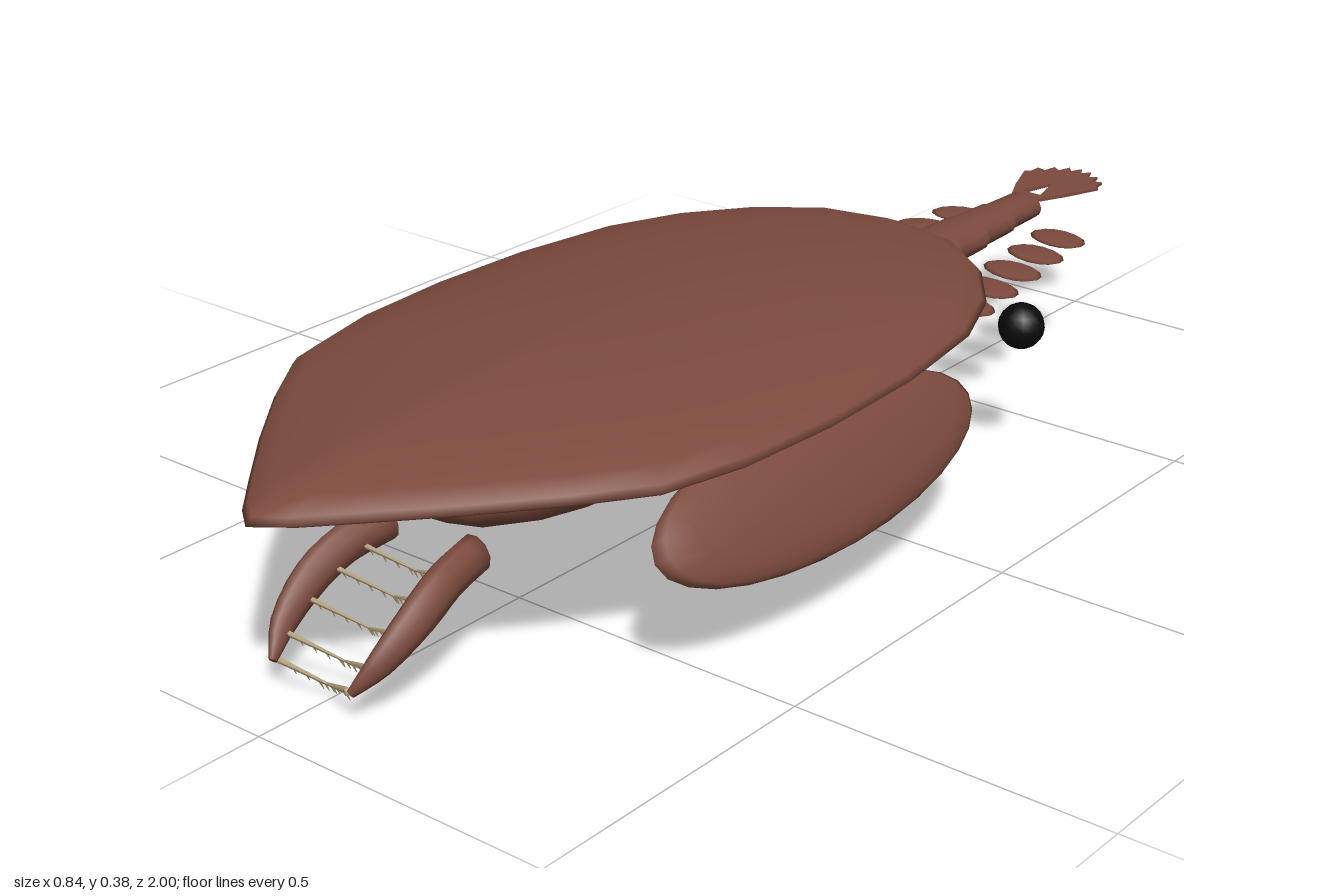
import * as THREE from 'three';

const V = (x, y, z) => new THREE.Vector3(x, y, z);

// Smooth skin through equal-sized closed rings of points
function loft(rings) {
  const n = rings[0].length, pos = [], idx = [];
  rings.forEach(r => r.forEach(p => pos.push(p.x, p.y, p.z)));
  for (let i = 0; i < rings.length - 1; i++) {
    for (let j = 0; j < n; j++) {
      const k = (j + 1) % n;
      const a = i * n + j, b = i * n + k, c = a + n, d = b + n;
      idx.push(a, c, b, b, c, d);
    }
  }
  const g = new THREE.BufferGeometry();
  g.setAttribute('position', new THREE.Float32BufferAttribute(pos, 3));
  g.setIndex(idx);
  g.computeVertexNormals();
  return g;
}

// Elliptical ring facing along z; rings are listed from front to back
function ringZ(x, y, z, rx, ry, n = 14) {
  return Array.from({ length: n }, (_, j) => {
    const a = j / n * Math.PI * 2;
    return V(x + rx * Math.cos(a), y + ry * Math.sin(a), z);
  });
}

export function createModel() {
  const root = new THREE.Group();
  const shell = new THREE.MeshStandardMaterial({ color: 0x7c4a3d });
  const shellThin = new THREE.MeshStandardMaterial({ color: 0x7c4a3d, side: THREE.DoubleSide });
  shell.name = 'shellBrown';
  shellThin.name = 'shellBrownThin';
  const eyeMat = new THREE.MeshStandardMaterial({ color: 0x0a0a0a });
  eyeMat.name = 'eyeBlack';
  const spineMat = new THREE.MeshStandardMaterial({ color: 0xb8a57f });
  spineMat.name = 'spineBeige';

  function add(name, geo, mat, parent = root) {
    const m = new THREE.Mesh(geo, mat);
    m.name = name;
    parent.add(m);
    return m;
  }

  // Carapace: a pointed oval outline, scaled up through a domed profile
  const half = [[0, 0.995], [0.04, 0.965], [0.1, 0.9], [0.19, 0.8], [0.28, 0.69], [0.35, 0.59],
    [0.383, 0.45], [0.394, 0.27], [0.386, 0.08], [0.355, -0.11], [0.3, -0.24], [0.22, -0.345],
    [0.12, -0.42], [0, -0.445]];
  const outline = [...half.slice().reverse(), ...half.slice(1, -1).map(([x, z]) => [-x, z])];
  const dome = [[0, 0.297], [0.5, 0.297], [0.9, 0.3], [0.97, 0.304], [1, 0.313], [0.985, 0.323],
    [0.93, 0.34], [0.75, 0.362], [0.5, 0.381], [0.25, 0.391], [0, 0.394]];
  add('carapace', loft(dome.map(([s, y]) =>
    outline.map(([x, z]) => V(x * s, y, 0.25 + (z - 0.25) * s)))), shell);

  // Head body under the carapace
  const body = add('body', new THREE.SphereGeometry(1, 16, 12), shell);
  body.scale.set(0.145, 0.079, 0.31);
  body.position.set(0, 0.222, 0.37);

  // Tapering tail with shallow segment steps
  const tail = [ringZ(0, 0.243, 0.07, 0, 0), ringZ(0, 0.243, 0.05, 0.06, 0.035)];
  const segments = 9;
  for (let i = 0; i < segments; i++) {
    const t = i / (segments - 1), z = 0.01 - i * 0.092;
    const rx = 0.1 - 0.062 * t, ry = 0.057 - 0.032 * t, y = 0.243 + 0.006 * t;
    tail.push(ringZ(0, y, z, rx, ry), ringZ(0, y, z - 0.085, rx * 0.94, ry * 0.94));
  }
  tail.push(ringZ(0, 0.249, -0.83, 0, 0));
  add('tail', loft(tail), shell);

  // Tail fan: flat, two jagged lobes with a notch between them
  const fanHalf = [[0.008, -0.81], [0.026, -0.81], [0.05, -0.86], [0.077, -0.93], [0.068, -0.935],
    [0.067, -0.96], [0.05, -0.955], [0.045, -0.98], [0.03, -0.97], [0.022, -0.995], [0.01, -0.98],
    [0, -1.0]];
  const fanShape = new THREE.Shape([...fanHalf, ...fanHalf.slice(0, -1).reverse().map(([x, z]) => [-x, z])]
    .map(([x, z]) => new THREE.Vector2(x, -z)));
  fanShape.holes.push(new THREE.Path([[-0.018, 0.835], [0.018, 0.835], [0, 0.9]]
    .map(p => new THREE.Vector2(...p))));
  const fan = add('tailFan', new THREE.ExtrudeGeometry(fanShape, { depth: 0.005, bevelEnabled: false }), shellThin);
  fan.rotation.x = -Math.PI / 2;
  fan.position.y = 0.26;

  // Mirrored parts
  for (const s of [1, -1]) {
    const side = s > 0 ? 'left' : 'right';

    // Side flap: a flattened ellipsoid leaning outward
    const flap = add(side + 'Flap', new THREE.SphereGeometry(1, 20, 14), shell);
    flap.scale.set(0.035, 0.108, 0.365);
    flap.position.set(s * 0.35, 0.216, 0.243);
    flap.rotation.z = s * Math.atan2(0.12, 0.17);

    // Eye
    const eye = add(side + 'Eye', new THREE.SphereGeometry(0.037, 14, 10), eyeMat);
    eye.position.set(s * 0.301, 0.244, -0.34);

    // Row of flat paddles along the tail
    const paddles = new THREE.Group();
    paddles.name = side + 'Paddles';
    root.add(paddles);
    for (let i = 0; i < 9; i++) {
      const p = add('paddle', new THREE.SphereGeometry(1, 14, 6), shell, paddles);
      p.scale.set(0.055 + i * 0.0015, 0.006, 0.037);
      p.position.set(s * (0.1 + i * 0.0125), 0.222, -0.765 + i * 0.09);
      p.rotation.y = -s * 0.2;
    }

    // Curved grasping arm, lofted from tip to base
    const arm = new THREE.Group();
    arm.name = side + 'Arm';
    root.add(arm);
    const curve = new THREE.CatmullRomCurve3([V(0.074, 0.056, 0.903), V(0.092, 0.09, 0.865),
      V(0.1, 0.135, 0.8), V(0.094, 0.163, 0.74), V(0.084, 0.175, 0.67)].map(p => p.setX(p.x * s)));
    const steps = 12, n = 10, rings = [];
    for (let i = 0; i <= steps; i++) {
      const t = i / steps, c = curve.getPoint(t), tan = curve.getTangent(t);
      const r = 0.007 + 0.024 * Math.sin(Math.min(1, t * 1.6) * Math.PI / 2);
      const u = V(1, 0, 0).addScaledVector(tan, -tan.x).normalize();
      const w = u.clone().cross(tan).normalize();
      if (w.y < 0) w.negate();
      const ring = k => Array.from({ length: n }, (_, j) => {
        const a = j / n * Math.PI * 2;
        return c.clone().addScaledVector(u, k * 0.8 * Math.cos(a)).addScaledVector(w, k * Math.sin(a));
      });
      if (i === 0) rings.push(ring(0));
      rings.push(ring(r));
      if (i === steps) rings.push(ring(0));
    }
    add('armShell', loft(rings), shell, arm);

    // Inward spines, each carrying a comb of small teeth
    const spike = (name, from, to, r) => {
      const d = to.clone().sub(from);
      const m = add(name, new THREE.CylinderGeometry(r * 0.25, r, d.length(), 5), spineMat, arm);
      m.position.copy(from).addScaledVector(d, 0.5);
      m.quaternion.setFromUnitVectors(V(0, 1, 0), d.normalize());
    };
    for (let i = 0; i < 5; i++) {
      const from = curve.getPoint(0.02 + i * 0.19);
      from.x -= s * 0.01;
      const to = from.clone().add(V(-s * 0.1, -0.038, -0.038));
      spike('spine', from, to, 0.0045);
      for (let k = 1; k <= 5; k++) {
        const p = from.clone().lerp(to, k / 5.5);
        spike('tooth', p, p.clone().add(V(0, -0.014, -0.006)), 0.002);
      }
    }
  }
  return root;
}
